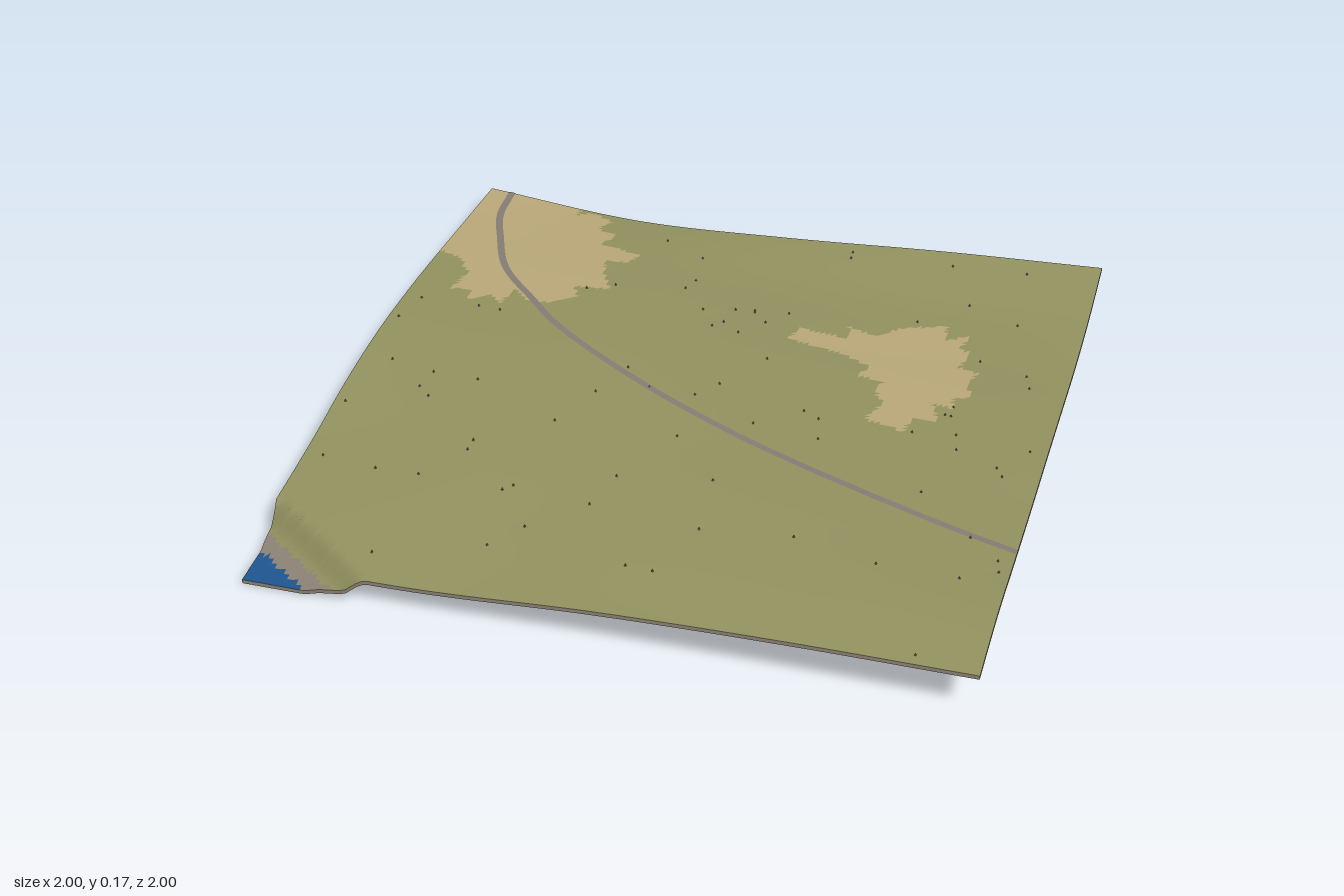
import * as THREE from 'three';

const material = (name, color, side = THREE.FrontSide) => {
  const m = new THREE.MeshStandardMaterial({ color, side });
  m.name = name;
  return m;
};

// Land heights: one row per x = -1, -0.5, 0, 0.5, 1; z runs from -1 to 1 in steps of 0.25
const HEIGHTS = [
  [.086, .110, .135, .155, .163, .150, .120, .100, .085],
  [.045, .085, .120, .145, .158, .160, .150, .125, .092],
  [.065, .062, .090, .120, .140, .152, .158, .150, .128],
  [.100, .066, .075, .100, .120, .140, .155, .160, .146],
  [.125, .088, .080, .095, .110, .122, .140, .161, .152],
];
// Lake shore: distance from the lake corner (1 = cliff top) and height there
const SHORE = [[0, .012], [.5, .014], [.62, .028], [.82, .040], [.92, .072], [1, .09]];

// Smooth interpolation along a list of values
function spline(values, t) {
  const last = values.length - 1;
  const i = Math.min(Math.floor(t), last - 1), f = t - i;
  const p = (k) => (k < 0 ? 2 * values[0] - values[1]
    : k > last ? 2 * values[last] - values[last - 1] : values[k]);
  const a = p(i - 1), b = p(i), c = p(i + 1), d = p(i + 2);
  return b + 0.5 * f * (c - a + f * (2 * a - 5 * b + 4 * c - d + f * (3 * (b - c) + d - a)));
}

const lakeDistance = (x, z) => (x + 1) / 0.36 + (1 - z) / 0.25;

function heightAt(x, z) {
  x = THREE.MathUtils.clamp(x, -1, 1);
  z = THREE.MathUtils.clamp(z, -1, 1);
  const land = spline(HEIGHTS.map((row) => spline(row, (z + 1) * 4)), (x + 1) * 2);
  const t = lakeDistance(x, z);
  if (t >= 1) return land;
  const k = SHORE.findIndex((s) => s[0] > t);
  const [t0, h0] = SHORE[k - 1], [t1, h1] = SHORE[k];
  return Math.min(land, h0 + (h1 - h0) * (t - t0) / (t1 - t0));
}

// Outlines of the dry patches, as x, z pairs
const DRY_PATCHES = [
  [[-1.1, -1.1], [-.7, -1.1], [-.69, -.95], [-.65, -.99], [-.57, -.95], [-.6, -.88], [-.53, -.86],
    [-.55, -.77], [-.42, -.75], [-.43, -.68], [-.5, -.66], [-.48, -.58], [-.43, -.48], [-.55, -.45],
    [-.5, -.4], [-.57, -.33], [-.64, -.31], [-.7, -.37], [-.71, -.27], [-.76, -.31], [-.81, -.26],
    [-.82, -.32], [-.88, -.31], [-.87, -.42], [-.92, -.5], [-1.1, -.56]],
  [[.15, -.4], [.17, -.48], [.32, -.47], [.31, -.54], [.4, -.51], [.45, -.58], [.59, -.64], [.6, -.55],
    [.67, -.6], [.65, -.52], [.69, -.5], [.67, -.41], [.73, -.39], [.71, -.31], [.74, -.25], [.69, -.23],
    [.7, -.17], [.64, -.18], [.67, -.08], [.6, -.09], [.59, 0], [.54, -.02], [.47, -.03], [.5, -.13],
    [.46, -.2], [.48, -.25], [.39, -.26], [.42, -.32], [.33, -.37]],
];

function inside(outline, x, z) {
  let hit = false;
  outline.forEach(([x1, z1], i) => {
    const [x2, z2] = outline[(i + 1) % outline.length];
    if ((z1 > z) !== (z2 > z) && x < x1 + (x2 - x1) * (z - z1) / (z2 - z1)) hit = !hit;
  });
  return hit;
}

// 0 grass, 1 dry earth, 2 stony shore, 3 water
function surfaceKind(x, z) {
  const t = lakeDistance(x, z);
  if (t < 0.5) return 3;
  if (t < 0.72) return 2;
  return DRY_PATCHES.some((p) => inside(p, x, z)) ? 1 : 0;
}

// Height field with its triangles sorted into one group per surface
function groundGeometry(n) {
  const geo = new THREE.PlaneGeometry(2, 2, n, n).rotateX(-Math.PI / 2);
  const pos = geo.attributes.position, old = geo.index.array;
  for (let i = 0; i < pos.count; i++) pos.setY(i, heightAt(pos.getX(i), pos.getZ(i)));
  const bins = [[], [], [], []];
  for (let i = 0; i < old.length; i += 3) {
    const c = [old[i], old[i + 1], old[i + 2]];
    const x = c.reduce((s, v) => s + pos.getX(v), 0) / 3;
    const z = c.reduce((s, v) => s + pos.getZ(v), 0) / 3;
    bins[surfaceKind(x, z)].push(...c);
  }
  geo.setIndex(bins.flat());
  let start = 0;
  bins.forEach((bin, k) => {
    geo.addGroup(start, bin.length, k);
    start += bin.length;
  });
  geo.computeVertexNormals();
  return geo;
}

// Strip between two lines of points
function stripGeometry(pairs) {
  const points = pairs.flat(), index = [];
  for (let i = 0; i < pairs.length - 1; i++) {
    const a = 2 * i;
    index.push(a, a + 1, a + 2, a + 1, a + 3, a + 2);
  }
  const geo = new THREE.BufferGeometry().setFromPoints(points);
  geo.setIndex(index);
  geo.computeVertexNormals();
  return geo;
}

export function createModel() {
  const model = new THREE.Group();
  model.name = 'landscape';
  const both = THREE.DoubleSide;
  const grass = material('grass', 0x91915f, both);
  const dry = material('dryEarth', 0xb9a878, both);
  const stone = material('stone', 0x8c8376, both);
  const water = material('water', 0x1f5590, both);
  const road = material('road', 0x857d74, both);
  const shrub = material('shrub', 0x6f7048);

  const add = (name, geo, mat) => {
    const mesh = new THREE.Mesh(geo, mat);
    mesh.name = name;
    model.add(mesh);
    return mesh;
  };

  add('ground', groundGeometry(120), [grass, dry, stone, water]);

  // Thin rim hanging from each of the four edges
  const sides = [(t) => [t, 1], (t) => [1, -t], (t) => [-t, -1], (t) => [-1, t]];
  sides.forEach((at, k) => {
    const pairs = [];
    for (let i = 0; i <= 120; i++) {
      const [x, z] = at(-1 + i / 60), y = heightAt(x, z);
      pairs.push([new THREE.Vector3(x, y, z), new THREE.Vector3(x, y - 0.012, z)]);
    }
    add('edgeRim' + (k + 1), stripGeometry(pairs), stone);
  });

  // Road draped over the land
  const curve = new THREE.CatmullRomCurve3([
    [-.93, -1], [-.91, -.83], [-.86, -.69], [-.77, -.49], [-.63, -.33], [-.5, -.2],
    [-.2, 0], [.15, .18], [.5, .32], [.8, .42], [1, .475],
  ].map(([x, z]) => new THREE.Vector3(x, 0, z)));
  const lanes = [];
  for (let i = 0; i <= 120; i++) {
    const p = curve.getPointAt(i / 120), t = curve.getTangentAt(i / 120);
    lanes.push([-1, 1].map((s) => {
      const x = THREE.MathUtils.clamp(p.x + s * t.z * 0.011, -1, 1);
      const z = THREE.MathUtils.clamp(p.z - s * t.x * 0.011, -1, 1);
      return new THREE.Vector3(x, heightAt(x, z) + 0.002, z);
    }));
  }
  add('road', stripGeometry(lanes), road);

  // Tiny shrubs scattered over the grass
  let seed = 11;
  const random = () => (seed = (seed * 16807) % 2147483647) / 2147483647;
  const shrubs = new THREE.Group();
  shrubs.name = 'shrubs';
  const cone = new THREE.ConeGeometry(0.004, 0.008, 5).translate(0, 0.003, 0);
  while (shrubs.children.length < 80) {
    const x = random() * 1.94 - 0.97, z = random() * 1.94 - 0.97;
    if (surfaceKind(x, z) !== 0 || lakeDistance(x, z) < 1.1) continue;
    const mesh = new THREE.Mesh(cone, shrub);
    mesh.name = 'shrub';
    mesh.position.set(x, heightAt(x, z), z);
    shrubs.add(mesh);
  }
  model.add(shrubs);
  return model;
}
